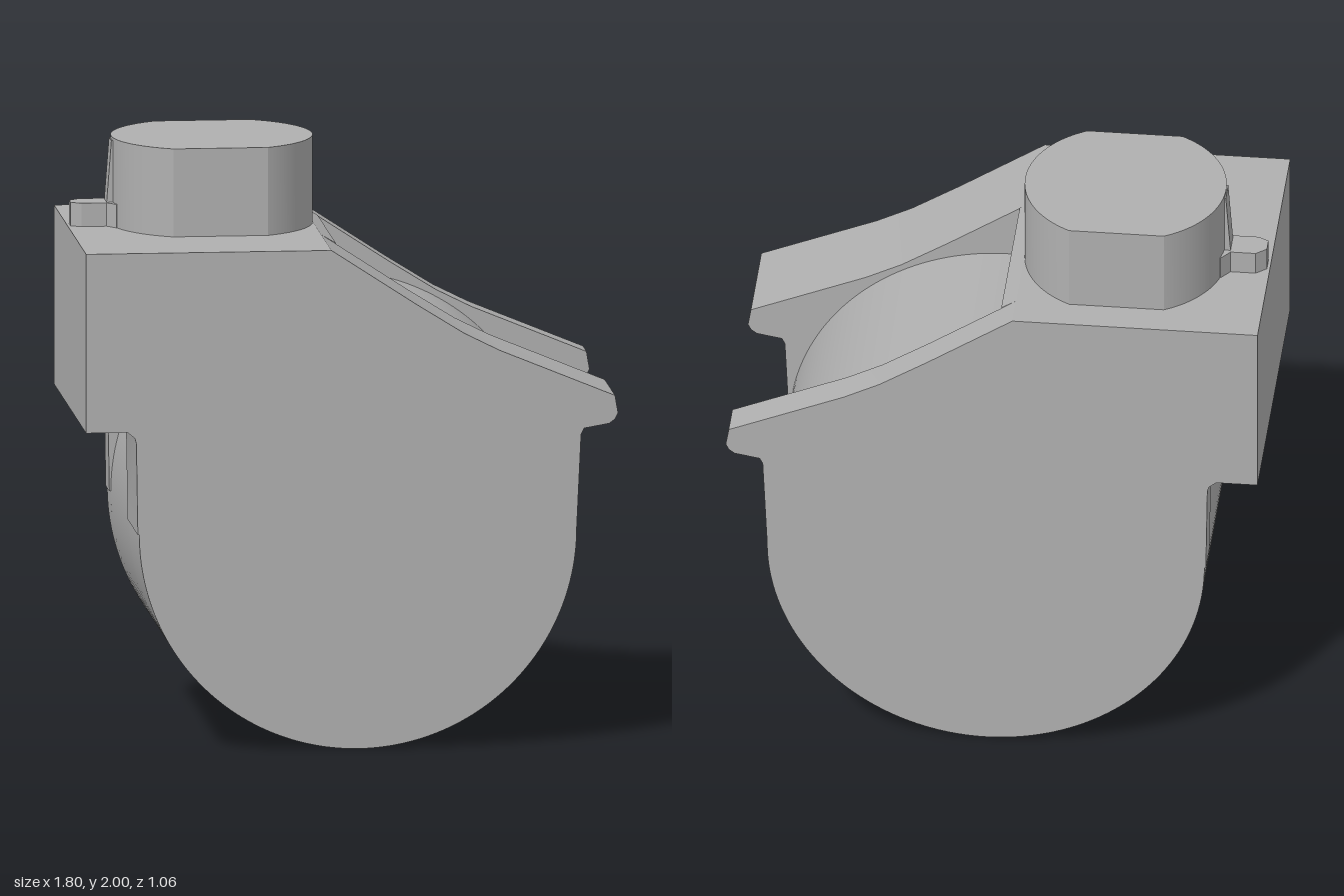
import * as THREE from 'three';
import { toCreasedNormals } from 'three/addons/utils/BufferGeometryUtils.js';

const CX = 0.02, R = 0.74; // drum axis and radius

export function createModel() {
  const model = new THREE.Group();
  const grey = new THREE.MeshStandardMaterial({ color: 0xb0b0b0 });
  grey.name = 'plain grey';

  const add = (name, geometry) => {
    const mesh = new THREE.Mesh(toCreasedNormals(geometry, 0.35), grey);
    mesh.name = name;
    model.add(mesh);
  };
  const extrude = (shape, depth) =>
    new THREE.ExtrudeGeometry(shape, { depth, bevelEnabled: false, curveSegments: 64 });
  // side profile in x/y, pushed along z
  const slab = (name, shape, z0, z1) => add(name, extrude(shape, z1 - z0).translate(0, 0, z0));
  // plan profile in x/z, pushed up along y
  const upright = (name, shape, y0, y1) =>
    add(name, extrude(shape, y1 - y0).rotateX(Math.PI / 2).translate(0, y1, 0));
  const line = (shape, points) => points.forEach(([x, y]) => shape.lineTo(x, y));

  // Side cheeks: round belly, stepped shoulder, sloping top and lip
  const cheek = new THREE.Shape();
  cheek.moveTo(-0.9, 1.7);
  line(cheek, [[-0.9, 1.09], [-0.76, 1.09], [-0.735, 1.07], [-0.73, 1.05], [-0.725, 0.74]]);
  cheek.absarc(CX, R, R, Math.PI, Math.PI * 2, false);
  line(cheek, [[0.775, 1.06], [0.785, 1.08], [0.87, 1.095], [0.89, 1.11], [0.9, 1.13],
    [0.89, 1.19], [0.5, 1.35], [0.38, 1.41], [0.22, 1.51], [-0.07, 1.7]]);
  slab('frontCheek', cheek, 0.19, 0.53);
  slab('backCheek', cheek, -0.53, -0.41);

  // Core between the cheeks: exposed drum and the block under the tower
  const core = new THREE.Shape();
  const leftAngle = Math.PI - Math.asin((1.09 - R) / R);
  core.moveTo(-0.9, 1.7);
  core.lineTo(-0.9, 1.09);
  core.absarc(CX, R, R, leftAngle, Math.PI * 2 + Math.acos(-0.04 / R), false);
  line(core, [[-0.02, 1.67], [-0.07, 1.7]]);
  slab('drumCore', core, -0.41, 0.19);

  // Tower: a round post with two flat sides
  const tower = new THREE.Shape();
  const a = Math.asin(0.3 / 0.34);
  tower.absarc(-0.41, -0.11, 0.34, -a, a, false);
  tower.absarc(-0.41, -0.11, 0.34, Math.PI - a, Math.PI + a, false);
  tower.closePath();
  upright('tower', tower, 1.68, 2);

  // Small knob with its flared foot against the tower
  const knob = new THREE.Shape();
  knob.moveTo(-0.89, -0.13);
  line(knob, [[-0.855, -0.16], [-0.77, -0.16], [-0.74, -0.2], [-0.7, -0.11],
    [-0.74, -0.02], [-0.77, -0.06], [-0.855, -0.06], [-0.89, -0.08]]);
  upright('knob', knob, 1.69, 1.78);

  // Thin web rising from the knob to the top of the tower
  const web = new THREE.Shape();
  web.moveTo(-0.775, 1.7);
  line(web, [[-0.72, 1.7], [-0.72, 1.99], [-0.753, 1.99]]);
  slab('knobWeb', web, -0.15, -0.07);

  return model;
}
